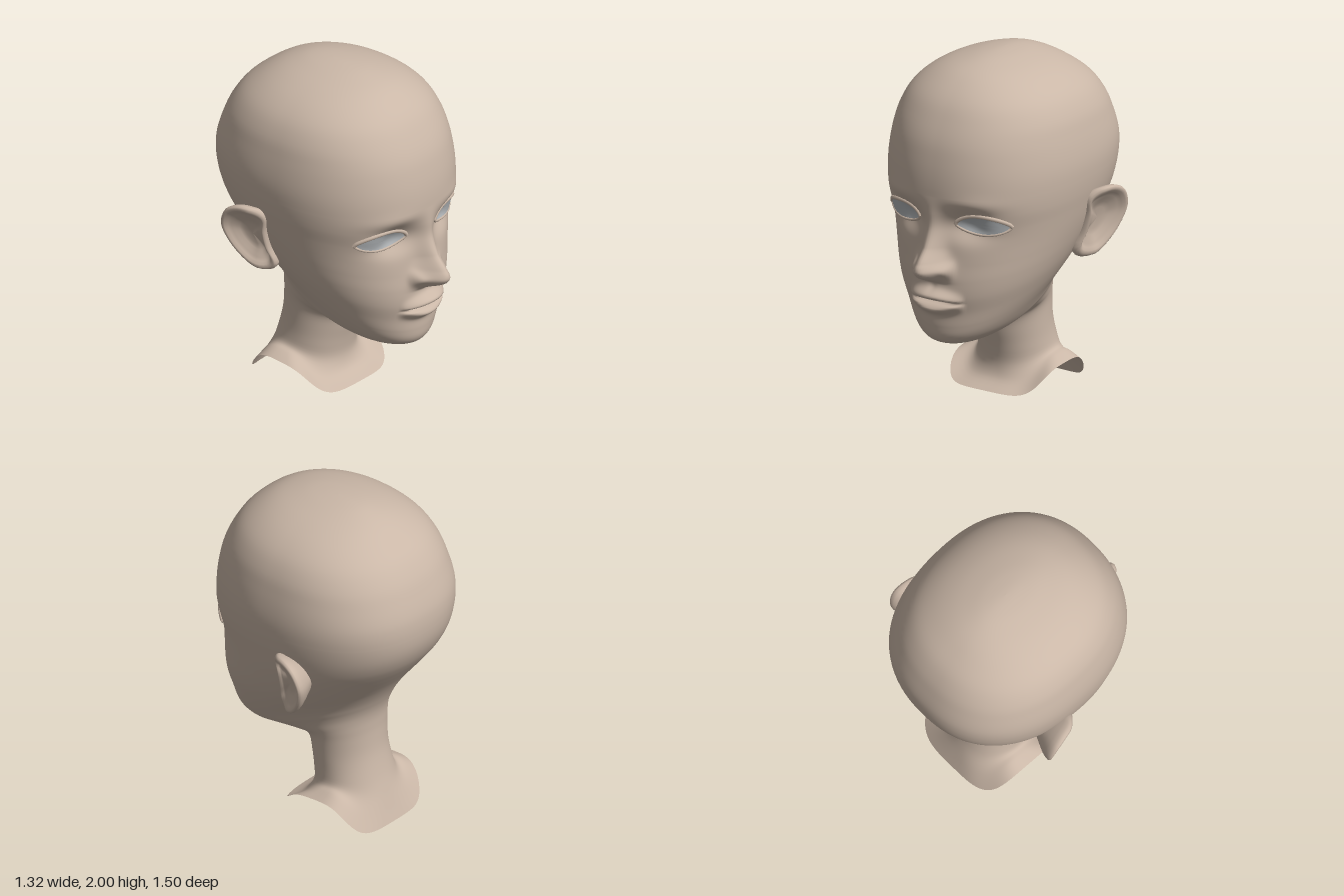
import * as THREE from 'three';

const skin = new THREE.MeshStandardMaterial({ color: 0xcab7a7, side: THREE.DoubleSide });
skin.name = 'skin';
const eyeGrey = new THREE.MeshStandardMaterial({ color: 0xb7bbbe, side: THREE.DoubleSide });
eyeGrey.name = 'eyeGrey';

// Tilted cross-sections from the neck edge to the chin:
// front y, front z, back y, back z, half width, roundness at front and back, lift at the sides
const NECK_AND_JAW = [
  [0.02, 0.11, 0.0, -0.51, 0.335, 3.4, 3.4, 0.16],
  [0.07, 0.03, 0.08, -0.48, 0.275, 2.8, 2.8, 0.13],
  [0.15, 0.0, 0.18, -0.445, 0.235, 2.2, 2.2, 0.06],
  [0.25, 0.01, 0.28, -0.415, 0.222, 2.1, 2.1, 0.02],
  [0.34, 0.03, 0.41, -0.388, 0.218, 2, 2, 0],
  [0.42, 0.05, 0.53, -0.38, 0.22, 2, 2, 0],
  [0.45, 0.09, 0.6, -0.381, 0.23, 2, 2, 0],
  [0.44, 0.18, 0.65, -0.385, 0.247, 2, 2, 0],
  [0.42, 0.3, 0.695, -0.394, 0.267, 2, 2, 0],
  [0.405, 0.4, 0.735, -0.407, 0.288, 2, 2, 0],
  [0.4, 0.47, 0.77, -0.422, 0.308, 2, 2, 0],
  [0.42, 0.53, 0.805, -0.439, 0.329, 2, 2, 0],
  [0.46, 0.56, 0.843, -0.46, 0.354, 2.03, 2, 0],
  [0.52, 0.57, 0.885, -0.486, 0.385, 2.08, 2, 0],
  [0.6, 0.575, 0.932, -0.518, 0.42, 2.13, 2.05, 0],
  [0.7, 0.594, 0.985, -0.558, 0.457, 2.15, 2.1, 0],
];
// The same from the mouth to the crown
const SKULL = [
  [0.8, 0.597, 1.045, -0.604, 0.487, 2.17, 2.15, 0],
  [0.9, 0.588, 1.11, -0.652, 0.512, 2.2, 2.2, 0],
  [1.0, 0.584, 1.17, -0.69, 0.533, 2.22, 2.25, 0],
  [1.1, 0.593, 1.235, -0.72, 0.551, 2.24, 2.3, 0],
  [1.2, 0.614, 1.3, -0.739, 0.567, 2.25, 2.33, 0],
  [1.3, 0.62, 1.37, -0.748, 0.577, 2.25, 2.36, 0],
  [1.4, 0.615, 1.44, -0.748, 0.58, 2.25, 2.38, 0],
  [1.5, 0.6, 1.51, -0.738, 0.573, 2.25, 2.38, 0],
  [1.6, 0.575, 1.6, -0.71, 0.556, 2.25, 2.35, 0],
  [1.7, 0.53, 1.7, -0.668, 0.529, 2.25, 2.3, 0],
  [1.8, 0.468, 1.8, -0.598, 0.473, 2.22, 2.25, 0],
  [1.88, 0.383, 1.88, -0.5, 0.385, 2.15, 2.2, 0],
  [1.94, 0.28, 1.94, -0.4, 0.272, 2.1, 2.1, 0],
  [1.98, 0.14, 1.98, -0.29, 0.145, 2, 2, 0],
  [1.996, 0.01, 1.996, -0.19, 0.055, 2, 2, 0],
  [2.0, -0.09, 2.0, -0.09, 0, 2, 2, 0],
];
// Nose ridge: y, height above the face
const NOSE = [[0.785, 0], [0.81, 0.055], [0.83, 0.11], [0.85, 0.145], [0.88, 0.165], [0.92, 0.152],
  [1.0, 0.09], [1.1, 0.04], [1.2, 0.012], [1.3, 0]];

const bump = (a, s) => Math.exp(-((a / s) ** 2));
const plateau = (a, s) => Math.exp(-((a / s) ** 4));

// Smooth interpolation between four values
const cubic = (a, b, c, d, t) =>
  b + 0.5 * t * (c - a + t * (2 * a - 5 * b + 4 * c - d + t * (3 * (b - c) + d - a)));

function noseHeight(y) {
  const last = NOSE.length - 1;
  for (let i = 0; i < last; i++) {
    const [y0, h0] = NOSE[i], [y1, h1] = NOSE[i + 1];
    if (y >= y0 && y <= y1) {
      return cubic(NOSE[Math.max(i - 1, 0)][1], h0, h1, NOSE[Math.min(i + 2, last)][1], (y - y0) / (y1 - y0));
    }
  }
  return 0;
}

// Forward displacement that models nose, lips, sockets and brow
function faceRelief(x, y) {
  const ax = Math.abs(x);
  // ridge and nostril wings merge into one form
  const width = THREE.MathUtils.lerp(0.078, 0.058, THREE.MathUtils.smoothstep(y, 0.88, 1.0));
  const ridge = noseHeight(y) * bump(x, width);
  const wing = 0.068 * plateau(ax - 0.07, 0.06) * bump(y - 0.875, 0.042);
  let d = Math.hypot(ridge, wing);
  // lips thin out towards the corners
  const mouth = Math.max(0, 1 - (x / 0.18) ** 2);
  const fade = mouth ** 0.8;
  d += fade * 0.056 * bump(y - 0.686 - 0.026 * mouth, 0.034);
  d += fade * 0.05 * bump(y - 0.668 + 0.036 * mouth, 0.03);
  d -= 0.042 * Math.sqrt(mouth) * bump(y - 0.677, 0.011);
  d -= 0.006 * bump(x, 0.025) * bump(y - 0.76, 0.03);
  d -= 0.08 * bump(ax - 0.215, 0.13) * bump(y - 1.14, 0.085);
  d += 0.022 * bump(ax - 0.28, 0.1) * bump(y - 1.14, 0.05);
  d += 0.01 * bump(ax - 0.26, 0.14) * bump(y - 1.27, 0.045);
  return d;
}

// Surface through closed loops of points
function loft(loops) {
  const n = loops[0].length, index = [];
  for (let i = 0; i < loops.length - 1; i++) {
    for (let j = 0; j < n; j++) {
      const k = (j + 1) % n, a = i * n, b = a + n;
      index.push(a + j, a + k, b + k, a + j, b + k, b + j);
    }
  }
  const geometry = new THREE.BufferGeometry().setFromPoints(loops.flat());
  geometry.setIndex(index);
  geometry.computeVertexNormals();
  return geometry;
}

function headLoop(s) {
  const [yF, zF, yB, zB, w, nF, nB, lift] = s, loop = [], count = 144;
  for (let j = 0; j < count; j++) {
    const phi = (j / count) * Math.PI * 2;
    const a = phi - 0.6 * Math.sin(phi); // finer towards the face
    const n = Math.cos(a) > 0 ? nF : nB;
    const pow = (v) => Math.sign(v) * Math.abs(v) ** (2 / n);
    const x = w * pow(Math.sin(a)), t = 0.5 - 0.5 * pow(Math.cos(a));
    const y = THREE.MathUtils.lerp(yF, yB, t) + lift * Math.sin(a) ** 4 * (0.75 + 0.5 * t);
    let z = THREE.MathUtils.lerp(zF, zB, t);
    if (Math.cos(a) > 0) z += faceRelief(x, y) * THREE.MathUtils.smoothstep(z, 0.1, 0.35);
    loop.push(new THREE.Vector3(x, y, z));
  }
  return loop;
}

function headGeometry() {
  const all = [...NECK_AND_JAW, ...SKULL], loops = [], last = all.length - 1;
  for (let i = 0; i < last; i++) {
    const steps = all[i][0] >= 0.52 && all[i][0] < 1.25 ? 14 : 4;
    for (let k = 0; k < steps; k++) {
      loops.push(headLoop(all[i].map((v, c) => cubic(
        all[Math.max(i - 1, 0)][c], v, all[i + 1][c], all[Math.min(i + 2, last)][c], k / steps))));
    }
  }
  loops.push(headLoop(all[last]));
  return loft(loops);
}

// Ear: one outline repeated at several scales and heights (back, rim, bowl)
function earGeometry(side) {
  const outline = new THREE.CatmullRomCurve3([
    [-0.115, 1.2], [-0.16, 1.25], [-0.25, 1.26], [-0.33, 1.22], [-0.372, 1.12], [-0.35, 1.02],
    [-0.29, 0.92], [-0.21, 0.85], [-0.13, 0.84], [-0.1, 0.88], [-0.12, 0.98], [-0.125, 1.1],
  ].map(([z, y]) => new THREE.Vector3(0, y, z)), true).getPoints(48).slice(0, 48);
  const steps = [[0.6, -0.12], [0.82, -0.06], [0.94, -0.025], [0.99, 0], [1, 0.018], [0.97, 0.032],
    [0.91, 0.038], [0.84, 0.034], [0.76, 0.02], [0.67, 0.008], [0.58, 0.002], [0.46, -0.014],
    [0.3, -0.022], [0, -0.022]];
  return loft(steps.map(([s, w]) => outline.map((p) => {
    const y = 1.06 + (p.y - 1.06) * s, z = -0.22 + (p.z + 0.22) * s;
    const sink = 0.035 * THREE.MathUtils.smoothstep(z, -0.2, -0.11); // front edge blends into the cheek
    return new THREE.Vector3(side * (0.566 + 0.22 * (y - 1.05) + 0.25 * (-0.235 - z) + w - sink), y, z);
  })));
}

export function createModel() {
  const model = new THREE.Group();
  const add = (geometry, material, name) => {
    const mesh = new THREE.Mesh(geometry, material);
    mesh.name = name;
    model.add(mesh);
    return mesh;
  };
  const head = add(headGeometry(), skin, 'headAndNeck');

  // Finds the point of the face at x, y
  const ray = new THREE.Raycaster();
  const onFace = (x, y, out) => {
    ray.set(new THREE.Vector3(x, y, 2), new THREE.Vector3(0, 0, -1));
    const hit = ray.intersectObject(head)[0];
    return new THREE.Vector3(x, y, (hit ? hit.point.z : 0.45) + out);
  };

  for (const side of [1, -1]) {
    const label = side > 0 ? 'left' : 'right';
    add(earGeometry(side), skin, label + 'Ear');

    // Almond-shaped eye laid over the socket
    const almond = (a, scale, out) => {
      const s = Math.sin(a);
      const y = 1.14 + scale * s * Math.abs(s) ** 0.25 * (s > 0 ? 0.058 : 0.052);
      return onFace(side * (0.268 + 0.138 * scale * Math.cos(a)), y, out);
    };
    const loops = [1, 0.75, 0.5, 0.25, 0].map((scale) =>
      Array.from({ length: 32 }, (_, j) => almond(side * j / 32 * Math.PI * 2, scale, 0.006)));
    add(loft(loops), eyeGrey, label + 'Eye');

    // Eyelids along the rim
    for (const [name, dir, radius] of [['UpperLid', 1, 0.012], ['LowerLid', -1, 0.008]]) {
      const path = Array.from({ length: 13 }, (_, j) => almond(dir * j / 12 * Math.PI, 1.06, 0.002));
      add(new THREE.TubeGeometry(new THREE.CatmullRomCurve3(path), 32, radius, 8), skin, label + name);
    }
  }
  return model;
}
